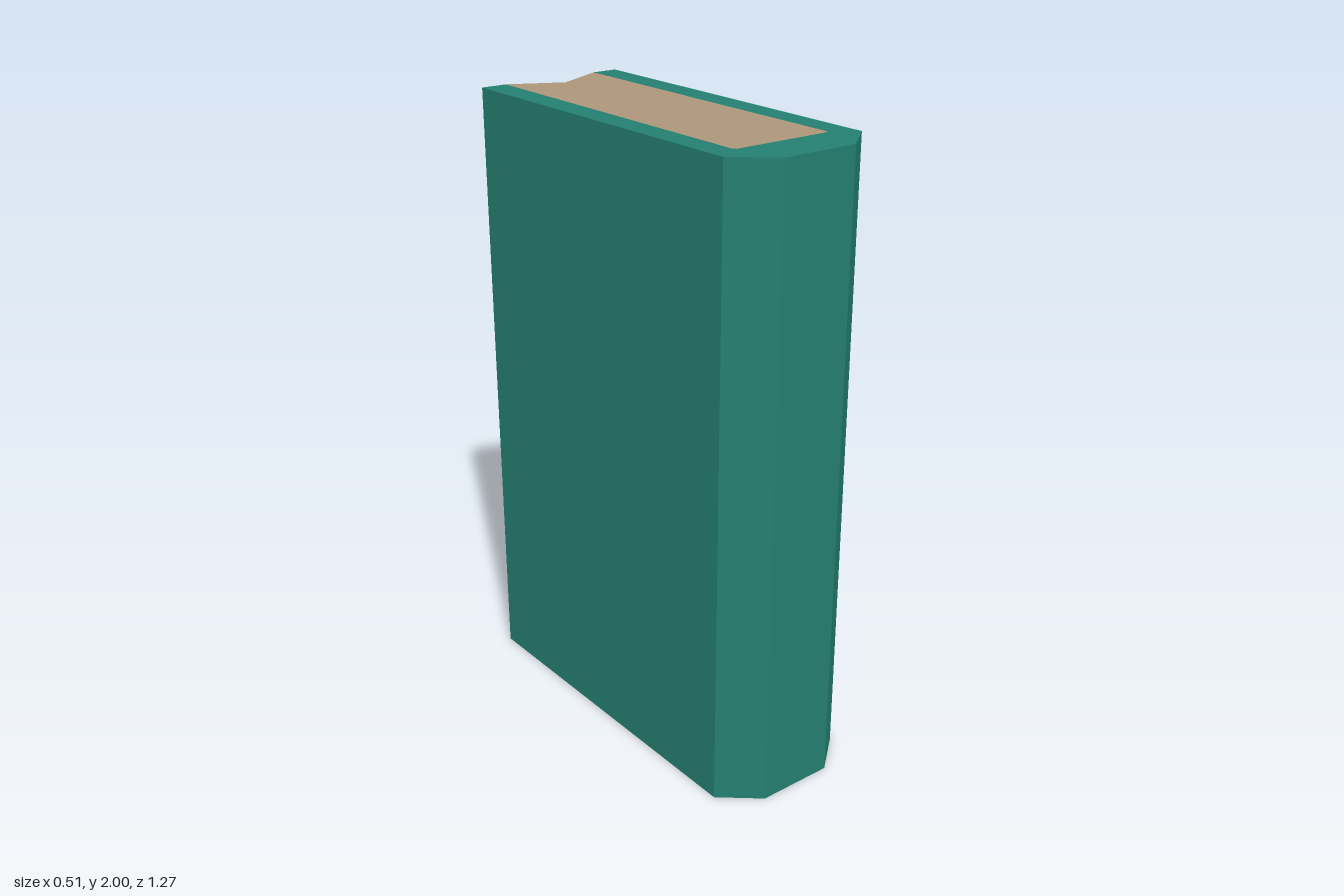
import * as THREE from 'three';

const HEIGHT = 2;

// Extrude a plan outline given as [x, z] points upward from y = 0.
function prism(name, outline, material) {
  const shape = new THREE.Shape(outline.map(([x, z]) => new THREE.Vector2(x, -z)));
  const geometry = new THREE.ExtrudeGeometry(shape, { depth: HEIGHT, bevelEnabled: false });
  geometry.rotateX(-Math.PI / 2);
  const mesh = new THREE.Mesh(geometry, material);
  mesh.name = name;
  return mesh;
}

// Complete a right-hand half outline with its mirror image.
const mirrored = (half) => [...half, ...half.map(([x, z]) => [-x, z]).reverse()];

export function createModel() {
  const coverGreen = new THREE.MeshStandardMaterial({ color: 0x247f71 });
  coverGreen.name = 'coverGreen';
  const paperTan = new THREE.MeshStandardMaterial({ color: 0xae967a });
  paperTan.name = 'paperTan';

  // Edge shared by the cover's inside and the page block, back to front
  const inner = [[0.168, -0.633], [0.168, 0.476], [0.16, 0.484]];

  const book = new THREE.Group();
  book.name = 'book';

  // U-shaped cover: boards flaring slightly to the back, with a chamfered spine
  const outer = [[0.125, 0.633], [0.245, 0.532], [0.254, -0.633]];
  book.add(prism('cover', mirrored([...outer, ...inner]), coverGreen));

  // Page block with a V-shaped fore edge
  book.add(prism('pages', [[0, -0.546], ...mirrored(inner)], paperTan));

  return book;
}
